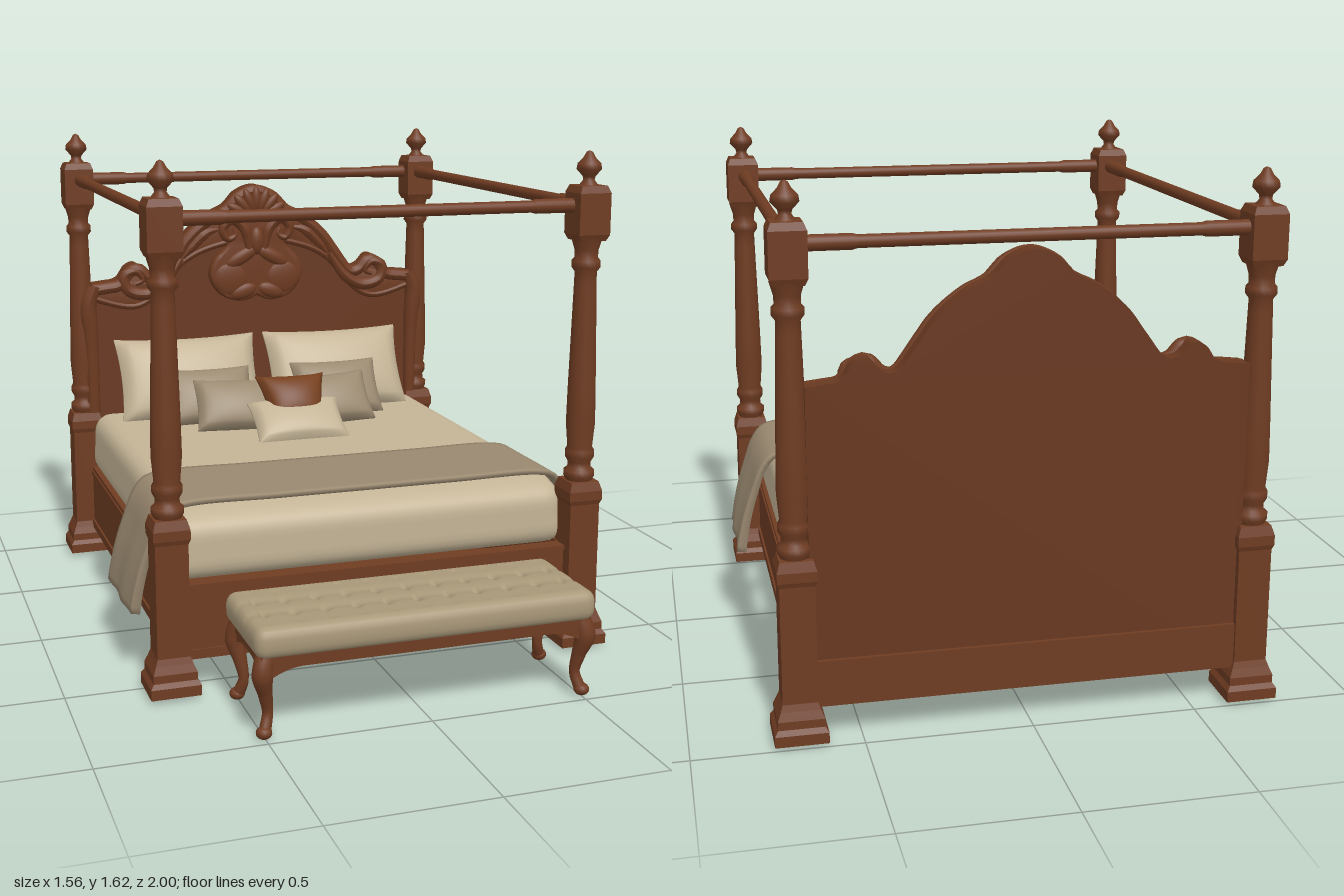
import * as THREE from 'three';
import { mergeVertices, toCreasedNormals } from 'three/addons/utils/BufferGeometryUtils.js';

const material = (name, color) => Object.assign(new THREE.MeshStandardMaterial({ color }), { name });
const wood = material('carved wood', 0x6f3c22);
const panelWood = material('headboard wood', 0x683820);
const cream = material('cream linen', 0xc4b496);
const taupe = material('taupe throw', 0x9a8970);
const sand = material('bench fabric', 0xa99879);
const rust = material('rust cushion', 0x75401f);

function add(parent, name, geo, mat, x = 0, y = 0, z = 0) {
  const mesh = new THREE.Mesh(geo, mat);
  mesh.name = name;
  mesh.position.set(x, y, z);
  parent.add(mesh);
  return mesh;
}
const box = (p, name, mat, w, h, d, x, y, z) => add(p, name, new THREE.BoxGeometry(w, h, d), mat, x, y, z);
const vec2 = pts => pts.map(([x, y]) => new THREE.Vector2(x, y));
const roundLathe = pts => new THREE.LatheGeometry(vec2(pts), 20);

// Square turned profile with flat faces
function squareLathe(pts) {
  const g = new THREE.LatheGeometry(vec2(pts.map(([x, y]) => [x * Math.SQRT2, y])), 4, Math.PI / 4).toNonIndexed();
  g.computeVertexNormals();
  return g;
}

// Apply a rule to every vertex and smooth the result
function reshape(geo, rule) {
  geo.deleteAttribute('uv');
  geo.deleteAttribute('normal');
  const g = mergeVertices(geo), p = g.attributes.position, v = new THREE.Vector3();
  for (let i = 0; i < p.count; i++) {
    rule(v.fromBufferAttribute(p, i));
    p.setXYZ(i, v.x, v.y, v.z);
  }
  g.computeVertexNormals();
  return g;
}

function softBox(w, h, d, r, segs, extra) {
  const half = new THREE.Vector3(w / 2 - r, h / 2 - r, d / 2 - r), inner = new THREE.Vector3();
  return reshape(new THREE.BoxGeometry(w, h, d, ...segs), v => {
    inner.copy(v).clamp(half.clone().negate(), half);
    v.sub(inner).setLength(r).add(inner);
    extra(v);
  });
}

// Pillow with pointed corners and a thin seam; taper narrows the lower edge
const pillowGeo = (w, h, t, taper) => reshape(new THREE.BoxGeometry(2, 2, 2, 22, 18, 1), v => {
  const { x, y } = v, a = 1 - x * x, b = 1 - y * y;
  v.set(x * w / 2 * (1 - 0.05 * b) * (1 - taper * (1 - y) / 2), y * h / 2 * (1 - (0.07 + taper * 0.2) * a * (y > 0 ? 1 : 0.5)),
    Math.sign(v.z) * (0.005 + t * Math.pow(a * b, 0.4)));
});

// Tube whose radius follows a list of values
function taperTube(pts, radii, n = 24) {
  const curve = new THREE.CatmullRomCurve3(pts.map(p => new THREE.Vector3(...p)));
  const g = new THREE.TubeGeometry(curve, n, 1, 10), p = g.attributes.position, v = new THREE.Vector3();
  for (let i = 0; i < p.count; i++) {
    const t = Math.floor(i / 11) / n, s = t * (radii.length - 1), k = Math.min(Math.floor(s), radii.length - 2);
    const c = curve.getPointAt(t);
    v.fromBufferAttribute(p, i).sub(c).multiplyScalar(THREE.MathUtils.lerp(radii[k], radii[k + 1], s - k)).add(c);
    p.setXYZ(i, v.x, v.y, v.z);
  }
  g.computeVertexNormals();
  return g;
}

const mirrored = half => [...half.slice(1).reverse().map(([x, y]) => [-x, y]), ...half];
const spline = (pts, n = 110) => new THREE.SplineCurve(vec2(pts)).getPoints(n);
function carve(points, depth, bevel) {
  return toCreasedNormals(new THREE.ExtrudeGeometry(new THREE.Shape(points), {
    depth, bevelEnabled: bevel > 0, bevelThickness: bevel, bevelSize: bevel, bevelOffset: -bevel, bevelSegments: 4,
  }), 0.7);
}

function post(parent, x, z) {
  const g = new THREE.Group();
  g.name = 'bedPost';
  g.position.set(x, 0, z);
  parent.add(g);
  add(g, 'pedestal', squareLathe([[0, .012], [.078, .012], [.078, .045], [.068, .06], [.068, .085], [.058, .11], [.051, .13],
    [.051, .485], [.057, .5], [.057, .53], [.048, .56], [0, .56]]), wood);
  add(g, 'column', roundLathe([[.04, .555], [.05, .575], [.05, .592], [.038, .602], [.037, .62], [.047, .638], [.047, .658],
    [.04, .67], [.047, .75], [.045, .86], [.036, 1.2], [.035, 1.24], [.046, 1.255], [.046, 1.275], [.037, 1.285],
    [.038, 1.31], [.05, 1.35]]), wood);
  add(g, 'capitalBlock', squareLathe([[0, 1.34], [.044, 1.34], [.053, 1.36], [.053, 1.49], [.044, 1.512], [0, 1.515]]), wood);
  add(g, 'finial', roundLathe([[.032, 1.51], [.018, 1.528], [.02, 1.54], [.04, 1.562], [.037, 1.58], [.02, 1.597],
    [.01, 1.615], [0, 1.62]]), wood);
}

function canopyRod(parent, length, x, z, alongZ) {
  const e = length / 2;
  const m = add(parent, 'canopyRod', roundLathe([[.023, -e], [.023, .13 - e], [.019, .145 - e], [.019, e - .145],
    [.023, e - .13], [.023, e]]), wood, x, 1.45, z);
  alongZ ? m.rotation.x = Math.PI / 2 : m.rotation.z = Math.PI / 2;
}

function headboard(parent) {
  const g = new THREE.Group();
  g.name = 'headboard';
  parent.add(g);
  const outer = spline(mirrored([[0, 1.415], [.07, 1.39], [.12, 1.34], [.19, 1.305], [.27, 1.24], [.33, 1.16], [.385, 1.09],
    [.43, 1.09], [.47, 1.128], [.51, 1.115], [.545, 1.07], [.6, 1.06], [.645, 1.055]]));
  const inner = spline(mirrored([[0, 1.2], [.18, 1.17], [.29, 1.12], [.36, 1.05], [.42, .985], [.48, .955], [.55, .96],
    [.645, .99]]), 80);
  const corners = vec2([[.645, .11], [-.645, .11]]);
  add(g, 'panel', carve([...outer, ...corners], .05, 0), panelWood, 0, 0, -.955);
  add(g, 'crestBand', carve([...outer, ...inner.slice().reverse()], .014, .012), wood, 0, 0, -.905);
  // Raised mouldings along both edges of the band
  const rim = (pts, dy, r) => taperTube(pts.filter((_, i) => i % 2 === 0).map(p => [p.x * .985, p.y + dy, -.89]), [r, r], 120);
  add(g, 'outerMoulding', rim(outer, -.022, .024), wood);
  add(g, 'innerMoulding', rim(inner, .012, .014), wood);
  // Central cartouche
  const shield = spline(mirrored([[0, 1.33], [.08, 1.32], [.125, 1.26], [.115, 1.19], [.17, 1.13], [.185, 1.06], [.14, .99],
    [.06, .965], [0, .985]]), 70);
  add(g, 'cartouche', carve(shield, .025, .014), wood, 0, 0, -.905);
  const boss = (name, x, y, rx, ry, rz, turn = 0) => {
    const m = add(g, name, new THREE.SphereGeometry(1, 18, 12), wood, x, y, -.872);
    m.scale.set(rx, ry, rz);
    m.rotation.z = turn;
  };
  boss('cartoucheBoss', 0, 1.2, .03, .055, .024);
  for (let i = -3; i <= 3; i++) boss('crestShell', Math.sin(i * .36) * .08, 1.285 + Math.cos(i * .36) * .075, .02, .05, .018, -i * .36);
  for (const s of [-1, 1]) {
    boss('cartoucheLobe', s * .105, 1.055, .07, .065, .016, s * .5);
    boss('cartoucheLeaf', s * .055, 1.005, .055, .03, .018, -s * .3);
    boss('cartoucheWing', s * .06, 1.14, .075, .028, .02, -s * .5);
    add(g, 'cartoucheScroll', taperTube([[.03, 1.16], [.05, 1.25], [.1, 1.285], [.135, 1.25], [.115, 1.21], [.085, 1.225],
      [.095, 1.25]].map(([x, y]) => [s * x, y, -.87]), [.012, .022, .02, .016, .006], 36), wood);
    add(g, 'shoulderScroll', taperTube([[.3, 1.14], [.37, 1.045], [.44, 1.01], [.51, 1.03], [.52, 1.085], [.475, 1.1],
      [.45, 1.065], [.48, 1.05]].map(([x, y]) => [s * x, y, -.88]), [.012, .022, .024, .02, .008], 40), wood);
    add(g, 'sweepLeaf', taperTube([[.14, 1.25], [.2, 1.235], [.26, 1.18], [.31, 1.12]].map(([x, y]) => [s * x, y, -.888]),
      [.008, .024, .02, .006]), wood);
    add(g, 'sideMoulding', taperTube([[.635, 1.05], [.66, .98], [.655, .87], [.65, .72], [.65, .56]]
      .map(([x, y]) => [s * x, y, -.892]), [.03, .032, .026, .024, .024]), wood);
  }
  box(g, 'backRail', wood, 1.28, .14, .02, 0, .18, -.957);
}

function bedding(parent) {
  // Mattress sides lean in slightly towards the top
  add(parent, 'mattress', softBox(1.325, .225, 1.435, .06, [60, 12, 60], v => {
    v.x *= 1 - .018 * (v.y / .225 + .5);
    if (v.y > 0) v.y -= .025 * THREE.MathUtils.smoothstep(v.z, .58, .72);
  }), cream, 0, .443, -.19);
  // Throw draped over both sides, thicker towards its hems
  const path = new THREE.CatmullRomCurve3(mirrored([[0, .561], [.3, .561], [.59, .56], [.65, .545], [.685, .5], [.71, .43],
    [.735, .35], [.753, .27], [.762, .21]]).map(([x, y]) => new THREE.Vector3(x, y, 0)));
  add(parent, 'throwBlanket', reshape(new THREE.BoxGeometry(1, 1, .39, 90, 1, 16), v => {
    const t = v.x + .5, c = path.getPointAt(t), d = path.getTangentAt(t), drop = Math.max(0, (.56 - c.y) / .35);
    const off = v.y * (.016 + .014 * drop) + drop * .004 * Math.sin(v.z * 28);
    const z = .25 + v.z - drop * .035 * (v.z / .39 + .5);
    v.set(c.x - d.y * off, c.y + d.x * off, z);
  }), taupe);
  const pillow = (name, mat, w, h, t, x, y, z, lean, roll = 0, taper = 0) =>
    add(parent, name, pillowGeo(w, h, t, taper), mat, x, y, z).rotation.set(lean, 0, roll);
  for (const s of [-1, 1]) {
    pillow('sleepingPillow', cream, .55, .33, .075, s * .295, .693, -.793, -.5);
    pillow('middlePillow', taupe, .34, .225, .055, s * .253, .648, -.645, -.6);
    pillow('innerPillow', taupe, .34, .205, .055, s * .168, .635, -.508, -.65, s * .06);
  }
  pillow('accentPillow', rust, .26, .195, .055, 0, .675, -.382, -.65, 0, .3);
  pillow('lumbarPillow', cream, .34, .2, .052, 0, .605, -.325, -.98);
}

function bench(parent) {
  const g = new THREE.Group();
  g.name = 'bench';
  g.position.z = .815;
  parent.add(g);
  // Tufted seat with two rows of buttons
  add(g, 'benchCushion', softBox(1.065, .095, .365, .035, [110, 6, 44], v => {
    if (v.y < .02) return;
    const fx = Math.abs(v.x) < .48 ? Math.abs(Math.sin(Math.PI * v.x / .096)) : 1;
    for (const row of [-.055, .045]) {
      const dz = (v.z - row) / .02;
      v.y -= Math.exp(-dz * dz) * (.004 + .018 * Math.pow(1 - fx, 2));
    }
    if (Math.abs(v.z) < .14) v.y -= .005 * Math.pow(1 - fx, 3);
  }), sand, 0, .292, 0);
  box(g, 'benchFrame', wood, 1.03, .03, .335, 0, .24, 0);
  const apron = w => {
    const s = new THREE.Shape(vec2([[-w, .25], [-w, .175]]));
    s.quadraticCurveTo(-w + .05, .212, -w + .11, .215);
    s.lineTo(w - .11, .215);
    s.quadraticCurveTo(w - .05, .212, w, .175);
    s.lineTo(w, .25);
    return new THREE.ExtrudeGeometry(s, { depth: .02, bevelEnabled: false, curveSegments: 8 });
  };
  for (const s of [-1, 1]) {
    add(g, 'benchApron', apron(.5), wood, 0, 0, s * .155 - .01);
    add(g, 'benchEndApron', apron(.15), wood, s * .5 - .01, 0, 0).rotation.y = Math.PI / 2;
    for (const t of [-1, 1]) {
      add(g, 'benchLeg', taperTube([[.495, .25, .14], [.507, .2, .152], [.495, .13, .138], [.487, .07, .13], [.5, .02, .145]]
        .map(([x, y, z]) => [s * x, y, t * z]), [.03, .032, .022, .016, .019]), wood);
      add(g, 'benchFoot', new THREE.SphereGeometry(.024, 14, 10), wood, s * .503, .019, t * .148).scale.y = .8;
    }
  }
}

export function createModel() {
  const model = new THREE.Group();
  model.name = 'canopyBed';
  for (const s of [-1, 1]) {
    post(model, s * .682, .556);
    post(model, s * .682, -.925);
    canopyRod(model, 1.4, s * .676, -.186, true);
    box(model, 'sideRail', wood, .04, .235, 1.4, s * .645, .228, -.186);
    box(model, 'sideRailMoulding', wood, .054, .03, 1.4, s * .645, .122, -.186);
    box(model, 'sideRailLip', wood, .05, .015, 1.4, s * .645, .325, -.186);
  }
  canopyRod(model, 1.27, 0, .55, false);
  canopyRod(model, 1.27, 0, -.935, false);
  box(model, 'footRail', wood, 1.28, .235, .04, 0, .222, .545);
  box(model, 'footRailMoulding', wood, 1.28, .03, .056, 0, .12, .545);
  box(model, 'footRailLip', wood, 1.28, .015, .054, 0, .335, .545);
  box(model, 'baseBoard', wood, 1.28, .02, 1.46, 0, .122, -.186);
  for (const z of [-.6, -.186, .23]) box(model, 'baseSlat', wood, 1.26, .008, .2, 0, .11, z);
  headboard(model);
  bedding(model);
  bench(model);
  return model;
}
